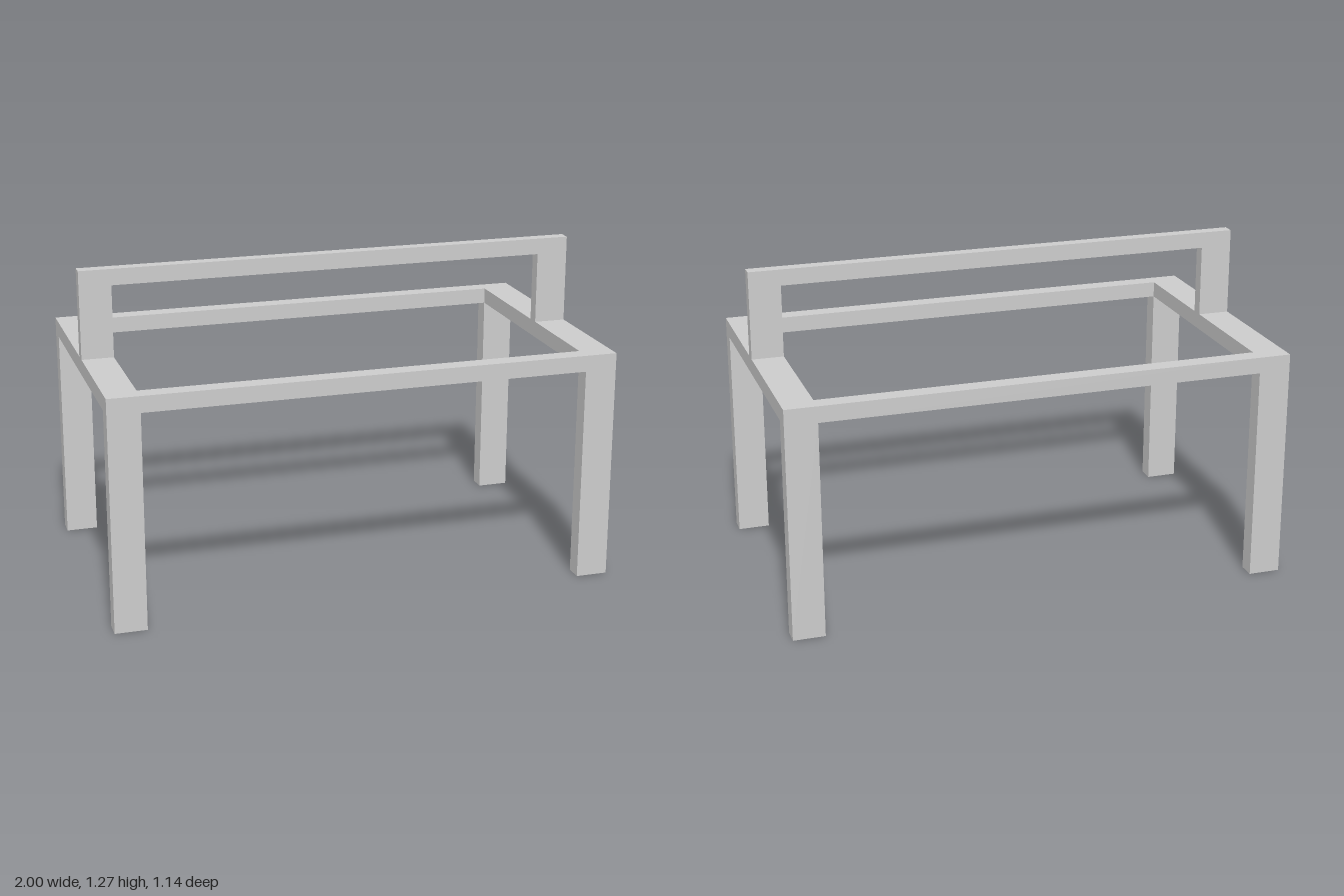
import * as THREE from 'three';

export function createModel() {
  const group = new THREE.Group();
  const material = new THREE.MeshStandardMaterial({ color: 0xcccccc, flatShading: true });

  // Box given by its extents along each axis
  const bar = (name, [x0, x1], [y0, y1], [z0, z1]) => {
    const mesh = new THREE.Mesh(new THREE.BoxGeometry(x1 - x0, y1 - y0, z1 - z0), material);
    mesh.position.set((x0 + x1) / 2, (y0 + y1) / 2, (z0 + z1) / 2);
    mesh.name = name;
    group.add(mesh);
  };
  // Extent between two distances from the centre, on the chosen side
  const span = (side, inner, outer) => (side > 0 ? [inner, outer] : [-outer, -inner]);

  const inX = 0.874, outX = 1, inZ = 0.503, outZ = 0.572;
  const frameY = [0.857, 0.921], railY = [1.206, 1.27], backZ = [0.014, 0.063];

  for (const sx of [1, -1]) {
    const side = sx > 0 ? 'left' : 'right';
    const x = span(sx, inX, outX);
    // Legs
    for (const sz of [1, -1]) {
      bar(`${side}${sz > 0 ? 'Front' : 'Back'}Leg`, x, [0, frameY[0]], span(sz, inZ, outZ));
    }
    // Frame end and the post standing on it
    bar(`${side}FrameRail`, x, frameY, [-outZ, outZ]);
    bar(`${side}Post`, x, [frameY[1], railY[0]], backZ);
  }

  // Long frame rails between the ends
  for (const sz of [1, -1]) {
    bar(sz > 0 ? 'frontFrameRail' : 'backFrameRail', [-inX, inX], frameY, span(sz, inZ, outZ));
  }

  // Top rail across the posts
  bar('topRail', [-outX, outX], railY, backZ);

  return group;
}
